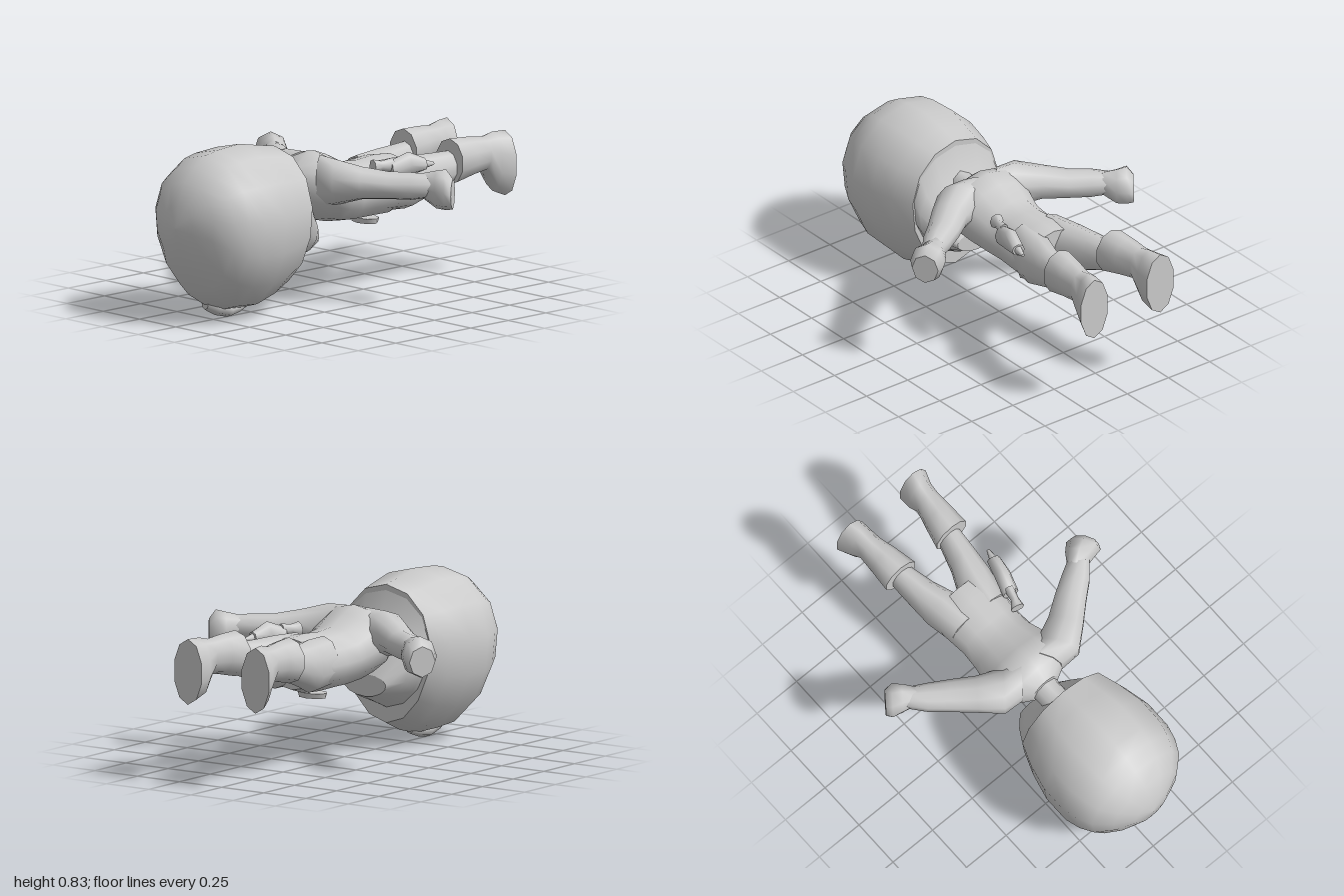
import * as THREE from 'three';

const mat = new THREE.MeshStandardMaterial({ color: 0xcccccc });
const UP = new THREE.Vector3(0, 1, 0);

// Closed skin through rings [x, z, yBottom, yTop, halfWidth] set square to dir.
// egg > 0 makes the upper half of each ring wider than the lower half.
function loft(name, rings, { dir = [0, 0, 1], sides = 12, egg = 0 } = {}) {
  const u = new THREE.Vector3().crossVectors(UP, new THREE.Vector3(...dir).normalize());
  const pos = [], index = [];
  const addRing = ([x, z, y0, y1, w]) => {
    const start = pos.length / 3;
    for (let j = 0; j < sides; j++) {
      const a = (j / sides) * Math.PI * 2;
      const k = w * Math.sin(a) * (1 + egg * Math.cos(a));
      pos.push(x + u.x * k, (y0 + y1) / 2 + ((y1 - y0) / 2) * Math.cos(a), z + u.z * k);
    }
    return start;
  };
  const starts = rings.map(addRing);
  for (let i = 0; i < rings.length - 1; i++) {
    for (let j = 0; j < sides; j++) {
      const k = (j + 1) % sides, a = starts[i], b = starts[i + 1];
      index.push(a + j, b + j, a + k, a + k, b + j, b + k);
    }
  }
  // Flat ends with their own corners, so the rims stay sharp
  const first = addRing(rings[0]), last = addRing(rings[rings.length - 1]);
  for (let j = 1; j < sides - 1; j++) {
    index.push(first, first + j, first + j + 1, last, last + j + 1, last + j);
  }
  const geo = new THREE.BufferGeometry();
  geo.setAttribute('position', new THREE.Float32BufferAttribute(pos, 3));
  geo.setIndex(index);
  geo.computeVertexNormals();
  const mesh = new THREE.Mesh(geo, mat);
  mesh.name = name;
  return mesh;
}

function createHead() {
  const head = new THREE.Group();
  head.name = 'head';
  head.add(loft('skull', [
    [0, 0.34, 0.115, 0.79, 0.26],
    [0, 0.45, 0.065, 0.81, 0.3],
    [0, 0.58, 0.03, 0.835, 0.33],
    [0, 0.72, 0.04, 0.825, 0.33],
    [0, 0.8, 0.075, 0.81, 0.31],
    [0, 0.87, 0.145, 0.765, 0.275],
    [0, 0.94, 0.27, 0.7, 0.2],
    [0, 0.985, 0.38, 0.59, 0.1],
    [0, 1, 0.478, 0.482, 0.002],
  ], { sides: 14, egg: 0.12 }));
  // Recessed chin below the rim, cut away towards the neck
  head.add(loft('jaw', [
    [0, 0.165, 0.27, 0.38, 0.125],
    [0, 0.24, 0.235, 0.52, 0.195],
    [0, 0.31, 0.205, 0.65, 0.24],
    [0, 0.345, 0.19, 0.78, 0.255],
  ], { sides: 14, egg: 0.1 }));
  // Small bump on the forehead
  head.add(loft('foreheadBump', [
    [0, 0.53, 0.035, 0.07, 0.02],
    [0, 0.6, 0.01, 0.08, 0.04],
    [0, 0.66, 0, 0.085, 0.05],
    [0, 0.74, 0.02, 0.11, 0.045],
    [0, 0.805, 0.055, 0.13, 0.025],
  ], { sides: 8 }));
  return head;
}

function createBody() {
  const body = new THREE.Group();
  body.name = 'body';
  body.add(loft('torso', [
    [0, -0.43, 0.39, 0.64, 0.17],
    [0, -0.33, 0.36, 0.65, 0.183],
    [0, -0.2, 0.36, 0.64, 0.168],
    [0, -0.1, 0.36, 0.65, 0.175],
    [0, 0, 0.37, 0.7, 0.2],
    [0, 0.08, 0.39, 0.73, 0.22],
    [0, 0.15, 0.43, 0.71, 0.19],
    [0, 0.21, 0.47, 0.66, 0.08],
  ]));
  body.add(loft('neck', [
    [0, 0.15, 0.46, 0.65, 0.08],
    [0, 0.23, 0.47, 0.63, 0.07],
    [0, 0.31, 0.47, 0.64, 0.07],
  ], { sides: 8 }));
  const buckle = new THREE.Mesh(new THREE.CylinderGeometry(0.055, 0.05, 0.025, 8), mat);
  buckle.name = 'beltBuckle';
  buckle.scale.x = 1.5;
  buckle.position.set(0, 0.343, -0.26);
  body.add(buckle);
  return body;
}

// side = 1 for left, -1 for right
function createArm(side) {
  const arm = new THREE.Group();
  arm.name = side > 0 ? 'leftArm' : 'rightArm';
  const part = (name, rings, sides) => arm.add(loft(name,
    rings.map(([x, ...rest]) => [x * side, ...rest]), { dir: [0.8 * side, 0, -0.6], sides }));
  part('sleeve', [
    [0.06, 0.1, 0.46, 0.72, 0.11],
    [0.17, 0.1, 0.49, 0.715, 0.11],
    [0.28, 0.03, 0.525, 0.685, 0.09],
    [0.38, -0.05, 0.53, 0.665, 0.08],
    [0.47, -0.115, 0.53, 0.665, 0.07],
    [0.55, -0.18, 0.545, 0.655, 0.05],
  ], 10);
  part('fist', [
    [0.505, -0.155, 0.54, 0.66, 0.045],
    [0.56, -0.195, 0.49, 0.675, 0.07],
    [0.605, -0.217, 0.485, 0.685, 0.085],
    [0.633, -0.235, 0.49, 0.64, 0.065],
  ], 8);
  return arm;
}

function createLeg(side) {
  const leg = new THREE.Group();
  leg.name = side > 0 ? 'leftLeg' : 'rightLeg';
  const part = (name, rings) => leg.add(loft(name,
    rings.map(([x, ...rest]) => [x * side, ...rest]), { dir: [0, 0, -1], sides: 10 }));
  part('thigh', [
    [0.08, -0.28, 0.39, 0.64, 0.09],
    [0.1, -0.43, 0.385, 0.645, 0.1],
    [0.13, -0.55, 0.435, 0.64, 0.078],
    [0.155, -0.7, 0.49, 0.64, 0.06],
  ]);
  part('boot', [
    [0.16, -0.67, 0.475, 0.7, 0.095],
    [0.17, -0.78, 0.5, 0.695, 0.08],
    [0.18, -0.87, 0.515, 0.685, 0.066],
    [0.185, -0.93, 0.41, 0.7, 0.072],
    [0.2, -1, 0.38, 0.7, 0.085],
  ]);
  return leg;
}

// Pointed sidearm hanging at the left hip, muzzle towards the feet
function createSidearm() {
  const sidearm = new THREE.Group();
  sidearm.name = 'sidearm';
  const opts = { dir: [0.28, 0, -0.96], sides: 8 };
  sidearm.add(
    loft('grip', [
      [0.148, -0.17, 0.59, 0.67, 0.035],
      [0.165, -0.21, 0.61, 0.66, 0.02],
      [0.18, -0.27, 0.6, 0.67, 0.025],
    ], opts),
    loft('casing', [
      [0.178, -0.255, 0.55, 0.655, 0.04],
      [0.205, -0.35, 0.57, 0.69, 0.04],
      [0.225, -0.44, 0.59, 0.65, 0.032],
    ], opts),
    loft('muzzle', [
      [0.224, -0.43, 0.595, 0.645, 0.022],
      [0.236, -0.49, 0.61, 0.625, 0.008],
    ], opts));
  return sidearm;
}

export function createModel() {
  const model = new THREE.Group();
  model.name = 'lyingFigure';
  model.add(createHead(), createBody(), createSidearm());
  for (const side of [1, -1]) model.add(createArm(side), createLeg(side));
  return model;
}
